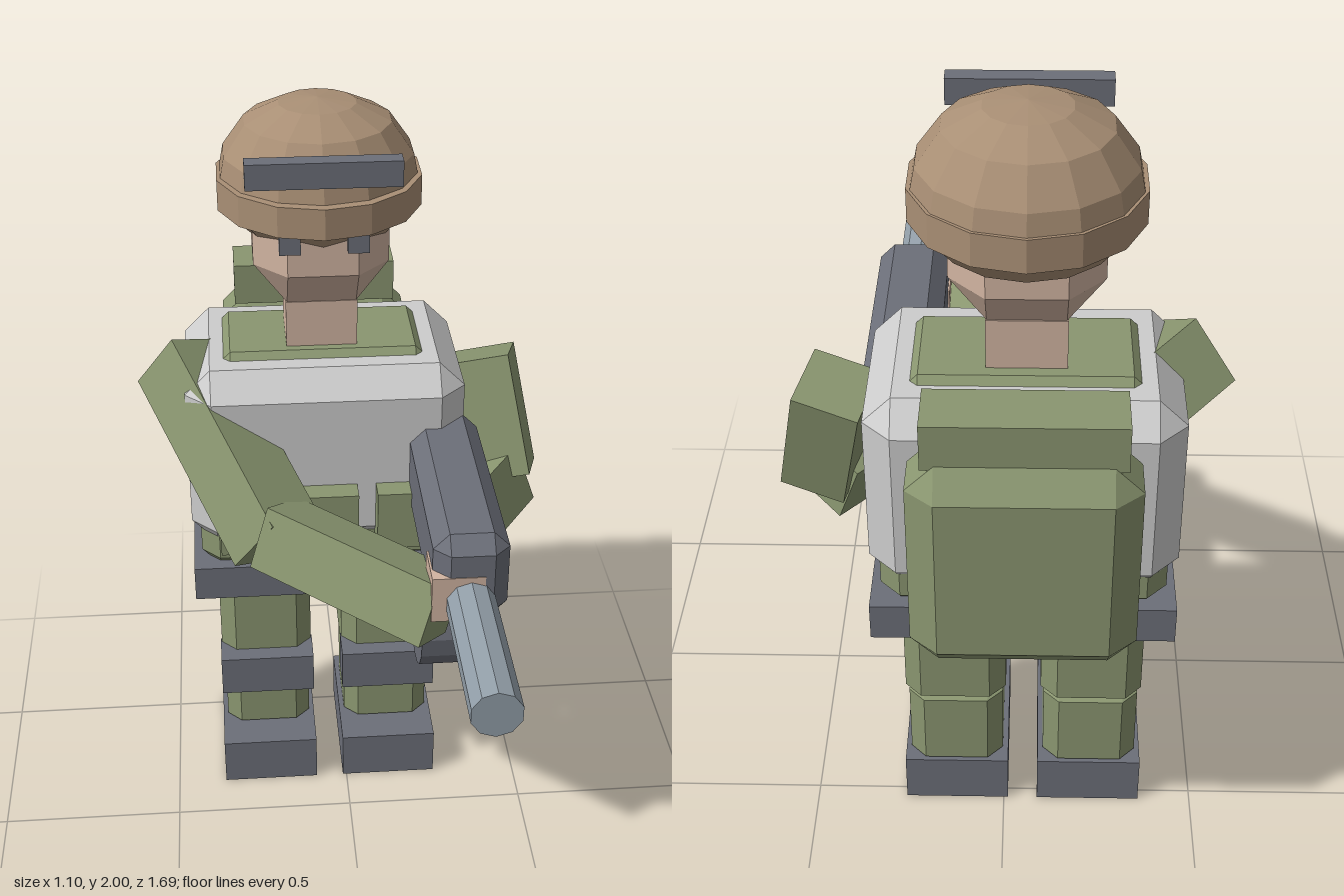
import * as THREE from 'three';
import { ConvexGeometry } from 'three/addons/geometries/ConvexGeometry.js';

const paint = (name, color) => {
  const m = new THREE.MeshStandardMaterial({ color });
  m.name = name;
  return m;
};

export function createModel() {
  const green = paint('olive cloth', 0x8a9670);
  const grey = paint('dark gear grey', 0x6c6f79);
  const vestGrey = paint('light vest grey', 0xcdcdcd);
  const skin = paint('skin', 0xd2b5a2);
  const brown = paint('helmet brown', 0xa98f75);
  const steel = paint('barrel steel', 0x929ea8);

  const root = new THREE.Group();
  root.name = 'soldier';

  const add = (name, geo, mat, parent = root) => {
    const mesh = new THREE.Mesh(geo, mat);
    mesh.name = name;
    parent.add(mesh);
    return mesh;
  };
  const flat = (geo) => {
    const g = geo.index ? geo.toNonIndexed() : geo;
    g.computeVertexNormals();
    return g;
  };

  // Box given by its bounds; a chamfer (number or [x, y, z]) cuts its edges
  const box = (name, mat, [x0, x1], [y0, y1], [z0, z1], chamfer = 0) => {
    const half = [(x1 - x0) / 2, (y1 - y0) / 2, (z1 - z0) / 2];
    let geo;
    if (chamfer) {
      const c = Array.isArray(chamfer) ? chamfer : [chamfer, chamfer, chamfer];
      const pts = [];
      for (const sx of [-1, 1]) for (const sy of [-1, 1]) for (const sz of [-1, 1])
        for (let full = 0; full < 3; full++) {
          const s = [sx, sy, sz];
          pts.push(new THREE.Vector3(...half.map((h, i) => s[i] * (i === full ? h : h - c[i]))));
        }
      geo = new ConvexGeometry(pts);
    } else {
      geo = new THREE.BoxGeometry(...half.map((h) => h * 2));
    }
    const mesh = add(name, geo, mat);
    mesh.position.set((x0 + x1) / 2, (y0 + y1) / 2, (z0 + z1) / 2);
    return mesh;
  };

  // Square beam from a to b; side is the direction of one of its flat faces
  const limb = (name, a, b, width, side) => {
    const p = new THREE.Vector3(...a), q = new THREE.Vector3(...b);
    const dir = q.clone().sub(p);
    const len = dir.length();
    dir.normalize();
    const u = new THREE.Vector3(...side);
    u.addScaledVector(dir, -u.dot(dir)).normalize();
    const v = new THREE.Vector3().crossVectors(dir, u);
    const mesh = add(name, new THREE.BoxGeometry(width, width, len), green);
    mesh.quaternion.setFromRotationMatrix(new THREE.Matrix4().makeBasis(u, v, dir));
    mesh.position.copy(p).add(q).multiplyScalar(0.5);
  };

  // Legs with boots and knee pads
  for (const [side, cx] of [['right', -0.225], ['left', 0.125]]) {
    const span = (h) => [cx - h, cx + h];
    box(side + 'Boot', grey, span(0.136), [0, 0.14], [-0.53, -0.13]);
    box(side + 'Shin', green, span(0.122), [0.13, 0.37], [-0.522, -0.23], [0.04, 0.015, 0.04]);
    box(side + 'Thigh', green, span(0.13), [0.355, 0.7], [-0.53, -0.22], [0.042, 0.025, 0.042]);
    box(side + 'KneePad', grey, span(0.133), [0.3, 0.42], [-0.275, -0.17]);
  }

  // Waist, vest and collar
  box('belt', grey, [-0.418, 0.322], [0.67, 0.77], [-0.62, -0.13]);
  box('waist', green, [-0.395, 0.298], [0.74, 0.92], [-0.6, -0.15], 0.05);
  box('vest', vestGrey, [-0.418, 0.32], [0.825, 1.35], [-0.635, -0.122], 0.068);
  box('collar', green, [-0.33, 0.23], [1.25, 1.368], [-0.535, -0.222], 0.035);
  for (const cx of [-0.26, -0.05, 0.16])
    box('vestPouch', green, [cx - 0.08, cx + 0.08], [0.86, 1.03], [-0.15, -0.06]);

  // Backpack with bedroll bar
  box('backpack', green, [-0.31, 0.21], [0.77, 1.33], [-0.845, -0.632], [0.065, 0.065, 0.055]);
  box('packBar', green, [-0.275, 0.175], [1.32, 1.435], [-0.79, -0.65]);

  // Head and eyes
  box('neck', skin, [-0.145, 0.042], [1.365, 1.495], [-0.47, -0.28]);
  box('head', skin, [-0.226, 0.124], [1.495, 1.83], [-0.556, -0.192], [0.085, 0.11, 0.09]);
  for (const cx of [-0.135, 0.037])
    box('eye', grey, [cx - 0.027, cx + 0.027], [1.675, 1.73], [-0.215, -0.17]);

  // Helmet: dome of revolution, rim band and front bar
  const profile = [[0, 1.67], [0.2, 1.675], [0.25, 1.735], [0.262, 1.79], [0.247, 1.865],
    [0.19, 1.945], [0.1, 1.988], [0, 2]].map(([r, y]) => new THREE.Vector2(r, y));
  const dome = add('helmetDome', flat(new THREE.LatheGeometry(profile, 14)), brown);
  dome.position.set(-0.05, 0, -0.4);
  const rim = add('helmetRim', flat(new THREE.CylinderGeometry(0.267, 0.267, 0.08, 14)), brown);
  rim.position.set(-0.05, 1.775, -0.39);
  rim.scale.z = 1.03;
  box('helmetBar', grey, [-0.243, 0.14], [1.87, 1.935], [-0.16, -0.112]);

  // Arms
  limb('rightUpperArm', [-0.43, 1.293, -0.37], [-0.19, 0.985, 0.08], 0.18, [-0.55, -0.79, -0.26]);
  limb('rightForearm', [-0.2, 1.02, 0.08], [0.2, 0.955, 0.365], 0.165, [-0.53, 0.34, 0.77]);
  limb('leftUpperArm', [0.395, 1.265, -0.4], [0.455, 0.945, -0.3], 0.165, [0.25, -0.25, -0.9]);
  limb('leftForearm', [0.45, 0.93, -0.31], [0.31, 0.91, -0.12], 0.165, [0.75, 0.35, 0.55]);
  box('rightHand', skin, [0.165, 0.295], [0.965, 1.09], [0.3, 0.424]);
  box('leftHand', skin, [0.22, 0.33], [0.91, 1.02], [-0.17, -0.06]);

  // Gun: body, barrel and drum magazine
  box('gunBody', grey, [0.17, 0.357], [0.95, 1.19], [-0.235, 0.422], 0.04);
  const barrel = add('gunBarrel', flat(new THREE.CylinderGeometry(0.062, 0.062, 0.46, 10)), steel);
  barrel.rotation.x = Math.PI / 2;
  barrel.position.set(0.261, 1.014, 0.615);
  const drum = add('drumMagazine', flat(new THREE.CylinderGeometry(0.155, 0.155, 0.172, 16)), grey);
  drum.rotation.z = Math.PI / 2;
  drum.position.set(0.261, 0.735, 0.043);

  return root;
}
